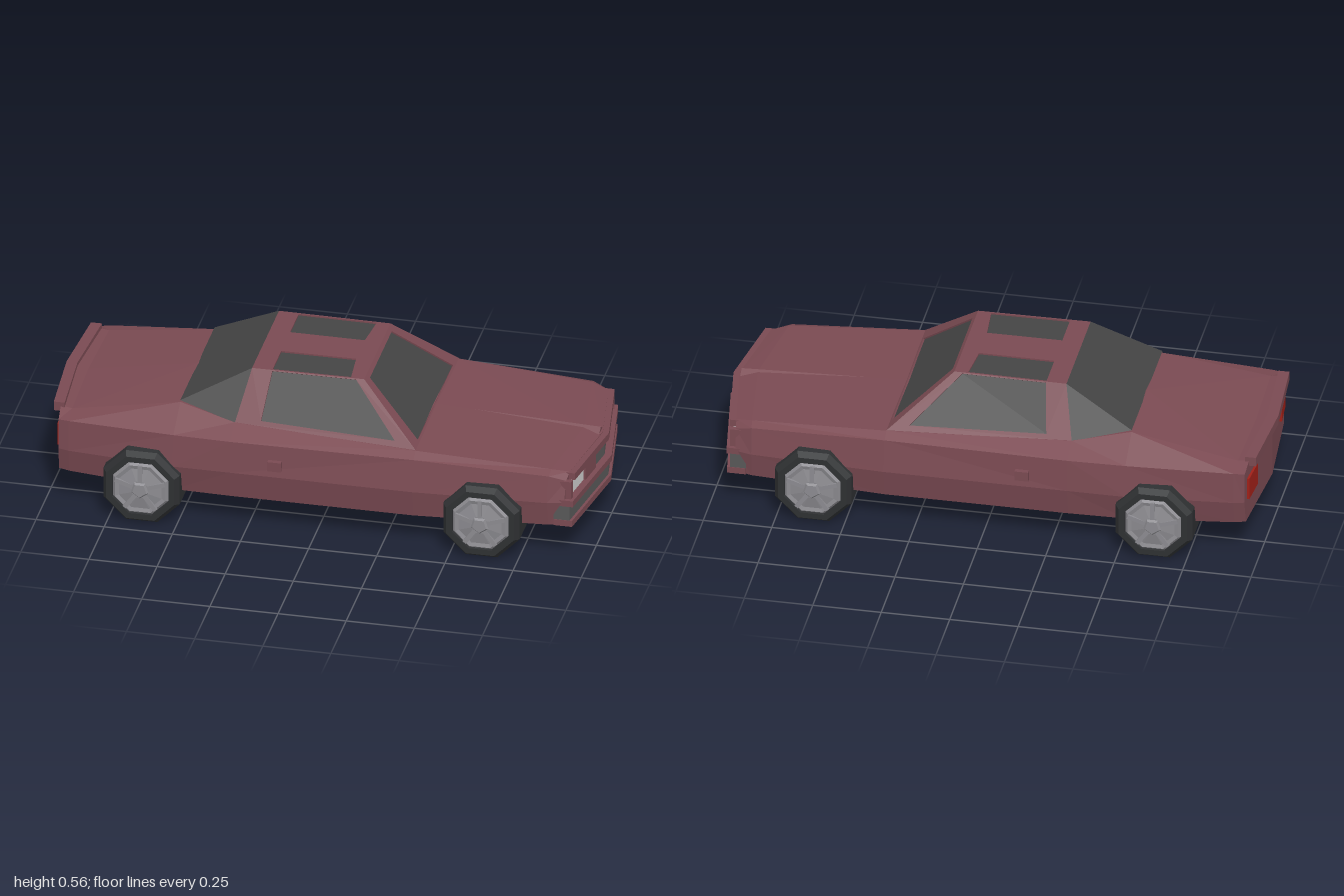
import * as THREE from 'three';

const mat = (color) => new THREE.MeshStandardMaterial({ color, flatShading: true, side: THREE.DoubleSide });
const paint = mat(0x7a4a52), glass = mat(0x444444), rubber = mat(0x2e3032), metal = mat(0x8c8b90);
const trim = mat(0x585858), lampWhite = mat(0xd0d0d0), lampRed = mat(0xa02018);
const V = (x, y, z) => new THREE.Vector3(x, y, z);

// Mesh from polygons (corner loops); every triangle is turned to face outward
function shell(name, polygons, material) {
  const out = [];
  for (const p of polygons) {
    for (let i = 1; i < p.length - 1; i++) {
      const t = new THREE.Triangle(p[0], p[i], p[i + 1]);
      if (t.getArea() < 1e-8) continue;
      const mid = t.getMidpoint(V(0, 0, 0));
      const outward = mid.clone().sub(V(mid.x * 0.8, 0.25, 0));
      const flip = t.getNormal(V(0, 0, 0)).dot(outward) < 0;
      for (const v of flip ? [t.a, t.c, t.b] : [t.a, t.b, t.c]) out.push(v.x, v.y, v.z);
    }
  }
  const g = new THREE.BufferGeometry();
  g.setAttribute('position', new THREE.Float32BufferAttribute(out, 3));
  g.computeVertexNormals();
  const m = new THREE.Mesh(g, material);
  m.name = name;
  return m;
}

// Box swept back from the centre line, for the pointed nose and tail
function bentBox(name, [x0, x1], [y0, y1], [z0, z1], slope, material) {
  const g = new THREE.BoxGeometry(x1 - x0, y1 - y0, z1 - z0, 1, 1, 2);
  g.translate((x0 + x1) / 2, (y0 + y1) / 2, (z0 + z1) / 2);
  const p = g.attributes.position;
  for (let i = 0; i < p.count; i++) p.setX(i, p.getX(i) - slope * Math.abs(p.getZ(i)));
  g.computeVertexNormals();
  const m = new THREE.Mesh(g, material);
  m.name = name;
  return m;
}

// Painted frame around a sunken pane; corners and pane run a, b, c, d with pane in (u, v)
function framedPane(group, name, [a, b, c, d], uv) {
  const at = ([u, v]) => a.clone().lerp(b, u).lerp(d.clone().lerp(c, u), v);
  const outer = [a, b, c, d], inner = uv.map(at);
  const n = new THREE.Triangle(a, b, c).getNormal(V(0, 0, 0));
  if (n.dot(a.clone().add(c).multiplyScalar(0.5).sub(V(0, 0.25, 0))) < 0) n.negate();
  const sunk = inner.map((p) => p.clone().addScaledVector(n, -0.006));
  const frame = [];
  for (let i = 0; i < 4; i++) {
    const j = (i + 1) % 4;
    frame.push([outer[i], outer[j], inner[j], inner[i]], [inner[i], inner[j], sunk[j], sunk[i]]);
  }
  group.add(shell(name + 'Frame', frame, paint), shell(name + 'Glass', [sunk], glass));
}

function createBody() {
  // x, sweep, then y/z of sill, waist, shoulder, deck edge, and deck centre height
  const sections = [
    [-0.978, -0.03, 0.135, 0.345, 0.225, 0.365, 0.34, 0.36, 0.365, 0.3, 0.368],
    [-0.92, -0.01, 0.133, 0.355, 0.225, 0.375, 0.342, 0.368, 0.358, 0.3, 0.36],
    [-0.52, 0, 0.12, 0.385, 0.225, 0.41, 0.345, 0.395, 0.42, 0.28, 0.43],
    [-0.31, 0, 0.12, 0.39, 0.225, 0.41, 0.345, 0.4, 0.385, 0.325, 0.385],
    [0.36, 0, 0.12, 0.39, 0.225, 0.41, 0.345, 0.39, 0.365, 0.355, 0.37],
    [0.9, 0.05, 0.13, 0.37, 0.225, 0.385, 0.325, 0.368, 0.338, 0.335, 0.342],
    [0.968, 0.06, 0.135, 0.36, 0.225, 0.37, 0.305, 0.35, 0.325, 0.315, 0.328],
  ];
  const polygons = [];
  for (const side of [1, -1]) {
    const rows = sections.map(([x, sweep, ...s]) => {
      const yz = [[s[0], 0], [s[0], s[1]], [s[2], s[3]], [s[4], s[5]], [s[6], s[7]], [s[8], 0]];
      return yz.map(([y, z]) => V(x - (sweep * z) / 0.37, y, z * side));
    });
    for (let i = 0; i < rows.length - 1; i++)
      for (let j = 0; j < 5; j++)
        polygons.push([rows[i][j], rows[i + 1][j], rows[i + 1][j + 1], rows[i][j + 1]]);
    polygons.push(rows[0], rows[rows.length - 1]);
  }
  return shell('body', polygons, paint);
}

function createCabin() {
  const cabin = new THREE.Group();
  cabin.name = 'cabin';
  const rear = (s) => V(-0.52, 0.427, 0.28 * s), post = (s) => V(-0.31, 0.383, 0.325 * s);
  const cowl = (s) => V(0.36, 0.367, 0.355 * s);
  const roofRear = (s) => V(-0.27, 0.556, 0.22 * s), roofFront = (s) => V(0.14, 0.556, 0.215 * s);
  framedPane(cabin, 'windscreen', [cowl(-1), cowl(1), roofFront(1), roofFront(-1)],
    [[0.09, 0.03], [0.91, 0.03], [0.9, 0.94], [0.1, 0.94]]);
  for (const s of [1, -1]) {
    framedPane(cabin, 'sideWindow', [post(s), cowl(s), roofFront(s), roofRear(s)],
      [[0.14, 0.1], [0.91, 0.1], [0.92, 0.98], [0.18, 0.98]]);
    framedPane(cabin, 'roofPanel', [V(-0.27, 0.556, 0), V(0.14, 0.556, 0), roofFront(s), roofRear(s)],
      [[0.18, 0.33], [0.85, 0.33], [0.88, 0.97], [0.18, 0.97]]);
    cabin.add(shell('quarterGlass', [[rear(s), post(s), roofRear(s)]], glass));
  }
  cabin.add(shell('rearWindow', [[rear(-1), rear(1), roofRear(1), roofRear(-1)]], glass));
  return cabin;
}

// Eight-sided tyre with a faceted hub, facing +z
function createWheel() {
  const wheel = new THREE.Group();
  wheel.name = 'wheel';
  const lathe = (name, profile, material) => {
    const g = new THREE.LatheGeometry(profile.map(([r, y]) => new THREE.Vector2(r, y)), 8, Math.PI / 8);
    const m = new THREE.Mesh(g.rotateX(Math.PI / 2), material);
    m.name = name;
    wheel.add(m);
  };
  lathe('tyre', [[0, 0.27], [0.1515, 0.27], [0.1515, 0.415], [0.135, 0.437], [0.112, 0.437], [0.108, 0.42]], rubber);
  lathe('rim', [[0.11, 0.428], [0.1, 0.44], [0.085, 0.436], [0.035, 0.446], [0, 0.446]], metal);
  const cap = new THREE.Mesh(new THREE.CylinderGeometry(0.027, 0.04, 0.014, 5).rotateX(Math.PI / 2), metal);
  cap.name = 'hubCap';
  cap.position.z = 0.447;
  wheel.add(cap);
  for (let i = 0; i < 5; i++) {
    const spoke = new THREE.Mesh(new THREE.BoxGeometry(0.016, 0.068, 0.008).translate(0, 0.062, 0.442), metal);
    spoke.name = 'spoke';
    spoke.rotation.z = (i * Math.PI * 2) / 5;
    wheel.add(spoke);
  }
  return wheel;
}

export function createModel() {
  const car = new THREE.Group();
  car.name = 'car';
  car.add(createBody(), createCabin());

  // Hood ridge
  const ridge = [1, -1].map((s) => [V(0.36, 0.368, 0), V(0.36, 0.368, 0.02 * s), V(0.96, 0.327, 0.03 * s), V(0.96, 0.346, 0)]);
  ridge.push([V(0.96, 0.327, 0.03), V(0.96, 0.346, 0), V(0.96, 0.327, -0.03)]);
  car.add(shell('hoodRidge', ridge, paint));

  // Nose bars, bumper and grille
  const k = 0.16;
  car.add(
    bentBox('hoodLip', [0.94, 0.99], [0.298, 0.325], [-0.325, 0.325], k, paint),
    bentBox('noseBar', [0.94, 1], [0.212, 0.236], [-0.372, 0.372], k, paint),
    bentBox('frontBumper', [0.93, 0.988], [0.156, 0.212], [-0.372, 0.372], k, trim),
    bentBox('chin', [0.93, 0.998], [0.133, 0.157], [-0.374, 0.374], k, paint),
    bentBox('grille', [0.95, 0.974], [0.236, 0.294], [-0.1, 0.1], k, trim),
  );

  // Tail lip
  car.add(bentBox('tailLip', [-1, -0.96], [0.345, 0.38], [-0.305, 0.305], -0.07, paint));

  for (const s of [1, -1]) {
    const span = (a, b) => (s > 0 ? [a, b] : [-b, -a]);
    car.add(
      bentBox('headlight', [0.95, 0.978], [0.241, 0.291], span(0.21, 0.333), k, lampWhite),
      bentBox('nosePanel', [0.95, 0.982], [0.236, 0.298], span(0.105, 0.203), k, paint),
      bentBox('nosePost', [0.94, 0.988], [0.236, 0.305], span(0.338, 0.358), k, paint),
      bentBox('tailLight', [-0.986, -0.95], [0.22, 0.305], span(0.22, 0.33), -0.08, lampRed),
      bentBox('doorHandle', [-0.17, -0.12], [0.253, 0.29], span(0.39, 0.42), 0, paint),
    );
    for (const [x, shift] of [[-0.63, 0.008], [0.615, 0]]) {
      const wheel = createWheel();
      wheel.position.set(x, 0.14, shift * s);
      wheel.rotation.y = s > 0 ? 0 : Math.PI;
      car.add(wheel);
    }
  }
  return car;
}
